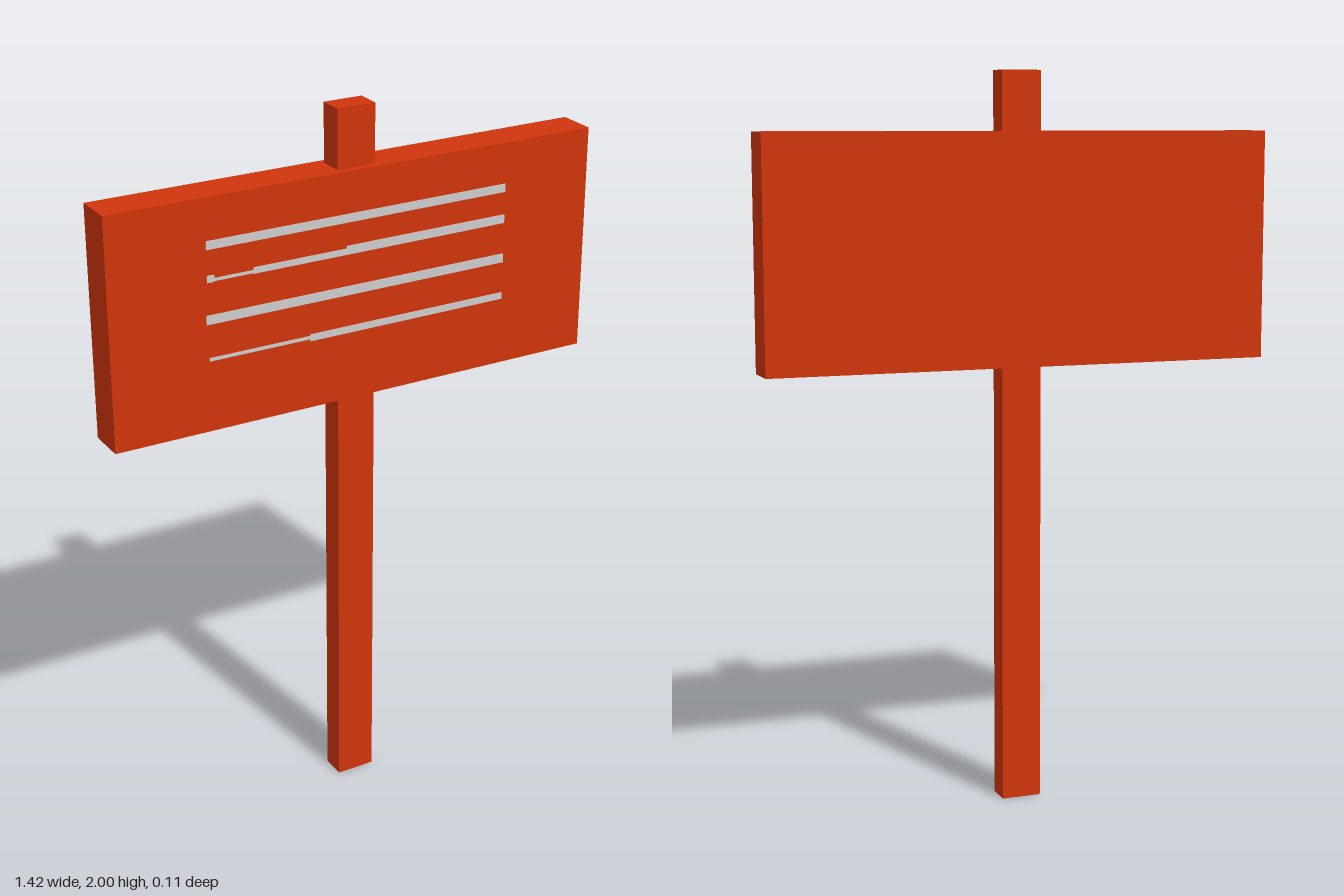
import * as THREE from 'three';

export function createModel() {
  const model = new THREE.Group();
  const red = new THREE.MeshStandardMaterial({ color: 0xd0350c, side: THREE.DoubleSide });
  red.name = 'red paint';
  const grey = new THREE.MeshStandardMaterial({ color: 0xcccccc });
  grey.name = 'light grey';

  const add = (name, geometry, material, x, y, z) => {
    const mesh = new THREE.Mesh(geometry, material);
    mesh.name = name;
    mesh.position.set(x, y, z);
    model.add(mesh);
  };

  // Post: a tall box left open at the foot (bottom face removed)
  const post = new THREE.BoxGeometry(0.11, 2, 0.07);
  post.setIndex([...post.index.array].filter((_, i) => i < 18 || i >= 24));
  post.clearGroups();
  add('post', post, red, 0, 1, 0);

  // Sign board
  const bottom = 1.21, top = 1.84, depth = 0.11;
  add('board', new THREE.BoxGeometry(1.42, top - bottom, depth), red, 0, (top + bottom) / 2, 0);

  // Painted lines on the front, some worn thin at one end: [x0, x1, y0, y1]
  const lines = [
    [-0.44, 0.445, 1.704, 1.727],
    [-0.44, -0.42, 1.617, 1.636],
    [-0.42, -0.31, 1.619, 1.627],
    [-0.31, -0.04, 1.617, 1.634],
    [-0.04, 0.445, 1.617, 1.641],
    [-0.445, 0.445, 1.505, 1.53],
    [-0.44, -0.15, 1.405, 1.414],
    [-0.15, 0.445, 1.399, 1.418],
  ];
  for (const [x0, x1, y0, y1] of lines) {
    add('paintedLine', new THREE.BoxGeometry(x1 - x0, y1 - y0, 0.004), grey,
      (x0 + x1) / 2, (y0 + y1) / 2, depth / 2);
  }
  return model;
}
